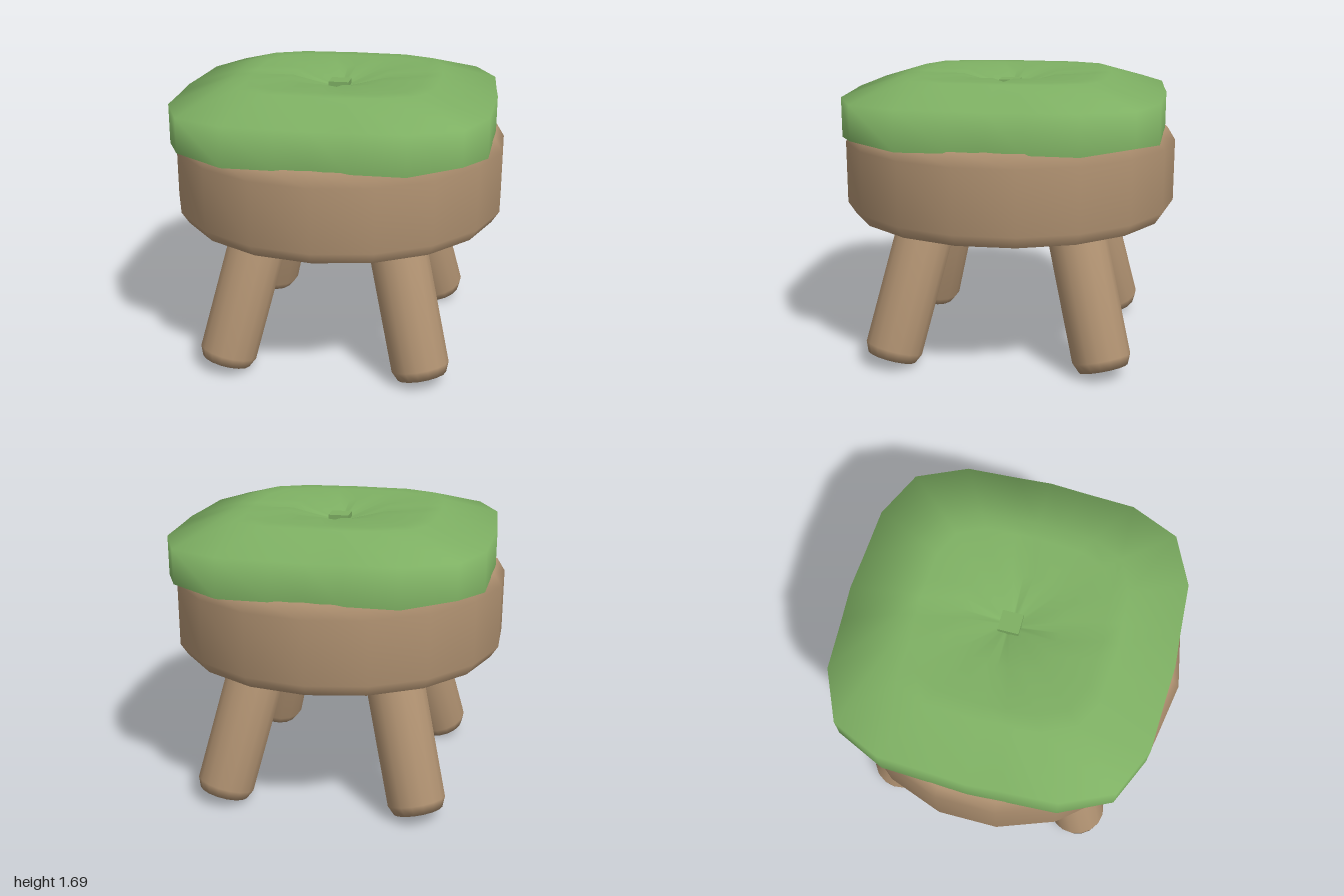
import * as THREE from 'three';

const wood = new THREE.MeshStandardMaterial({ color: 0xae9070, side: THREE.DoubleSide });
wood.name = 'wood';
const fabric = new THREE.MeshStandardMaterial({ color: 0x7eb063, side: THREE.DoubleSide });
fabric.name = 'green fabric';

function part(name, geometry, material) {
  const mesh = new THREE.Mesh(geometry, material);
  mesh.name = name;
  return mesh;
}

function lathe(profile, sides) {
  return new THREE.LatheGeometry(profile.map(([r, y]) => new THREE.Vector2(r, y)), sides);
}

// Rounded-square cushion shell, open below, with a tufted dip in the middle
function cushionGeometry() {
  const quarter = [[0.938, 0], [0.925, 0.2], [0.91, 0.5], [0.785, 0.78], [0.5, 0.91], [0.2, 0.925]];
  const hem = [0.01, -0.005, -0.01, 0.02, -0.01, -0.005];
  const rings = [ // scale, height, hem wave, crease depth
    [1, 1.368, 1, 0],
    [1, 1.588, 0, 0],
    [0.65, 1.692, 0, 0],
    [0.55, 1.692, 0, 0],
    [0.3, 1.685, 0, 0.02],
    [0.065, 1.62, 0, 0.01],
  ];
  const positions = [];
  const indices = [];
  const n = quarter.length * 4;
  for (const [scale, y, wave, crease] of rings) {
    for (let i = 0; i < n; i++) {
      const j = i % quarter.length;
      let [x, z] = quarter[j];
      for (let k = 0; k < Math.floor(i / quarter.length); k++) [x, z] = [-z, x];
      positions.push(x * scale, y + wave * hem[j] - (j === 0 ? crease : 0), z * scale);
    }
  }
  for (let r = 0; r < rings.length - 1; r++) {
    for (let i = 0; i < n; i++) {
      const a = r * n + i;
      const b = r * n + (i + 1) % n;
      indices.push(a, a + n, b + n, a, b + n, b);
    }
  }
  const geometry = new THREE.BufferGeometry();
  geometry.setAttribute('position', new THREE.Float32BufferAttribute(positions, 3));
  geometry.setIndex(indices);
  geometry.computeVertexNormals();
  return geometry;
}

export function createModel() {
  const model = new THREE.Group();
  model.name = 'stool';

  // Hollow round seat with chamfered rims
  const seatProfile = [[0.955, 0.86], [1, 0.93], [1, 1.3], [0.955, 1.373], [0, 1.373]];
  model.add(part('seat', lathe(seatProfile, 18), wood));

  // Cushion and its button
  model.add(part('cushion', cushionGeometry(), fabric));
  const button = part('cushionButton', new THREE.BoxGeometry(0.12, 0.08, 0.12), fabric);
  button.position.y = 1.61;
  model.add(button);

  // Four splayed legs
  const up = new THREE.Vector3(0, 1, 0);
  for (const sx of [-1, 1]) {
    for (const sz of [-1, 1]) {
      const foot = new THREE.Vector3(0.59 * sx, 0.05, 0.63 * sz);
      const axis = new THREE.Vector3(0.37 * sx, 0.96, 0.41 * sz).sub(foot);
      const length = axis.length();
      const profile = [[0, 0], [0.145, 0], [0.172, 0.06], [0.172, length], [0, length]];
      const name = (sz > 0 ? 'front' : 'back') + (sx > 0 ? 'Left' : 'Right') + 'Leg';
      const leg = part(name, lathe(profile, 16), wood);
      leg.position.copy(foot);
      leg.quaternion.setFromUnitVectors(up, axis.normalize());
      model.add(leg);
    }
  }
  return model;
}
